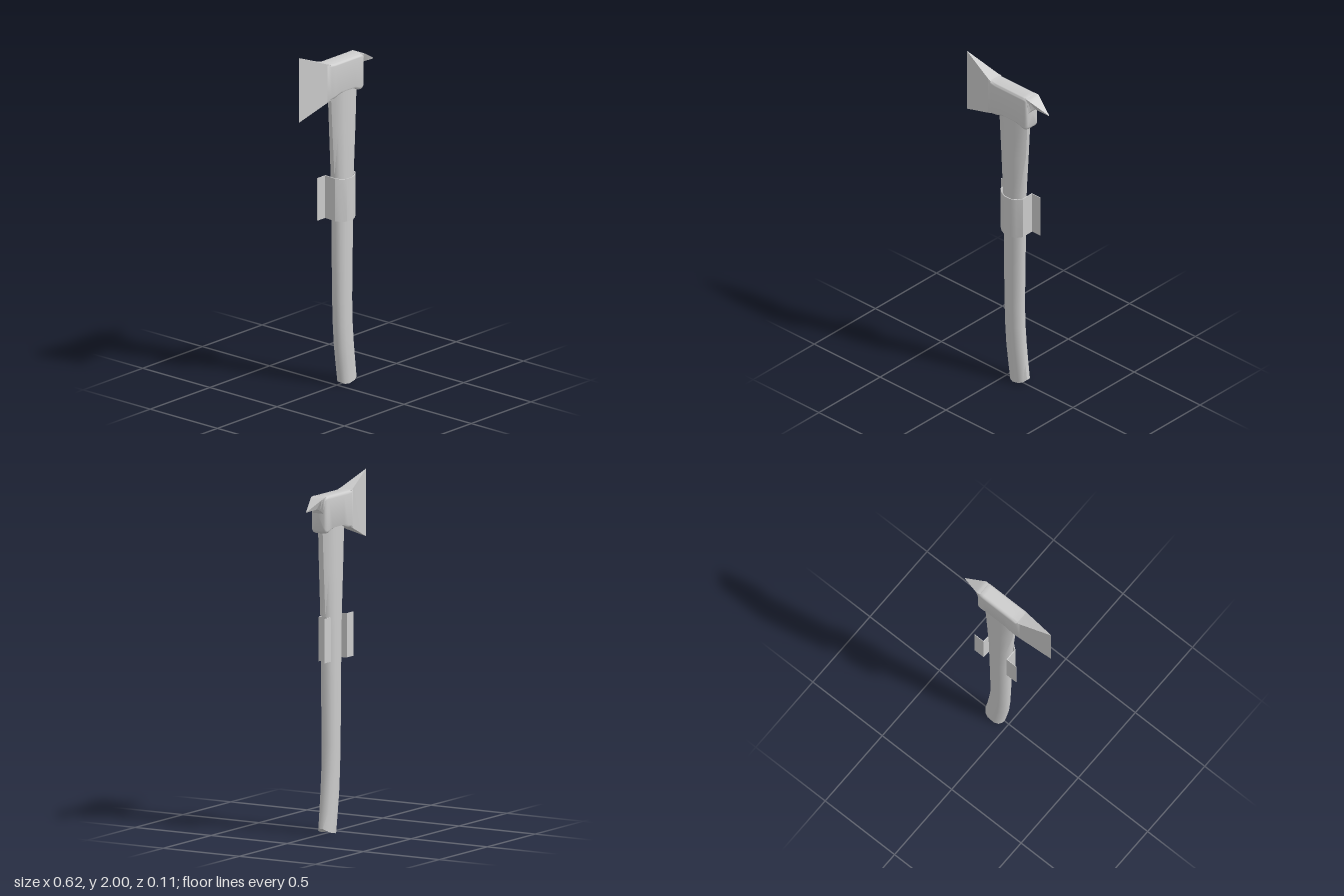
import * as THREE from 'three';
import { toCreasedNormals } from 'three/addons/utils/BufferGeometryUtils.js';

const ZC = -0.0065; // depth centre of handle and head

// Skin a stack of equal-length rings of [x, y, z] points and cap both ends.
function loft(rings, crease) {
  const n = rings[0].length;
  const pos = rings.flat(2);
  const index = [];
  for (let r = 0; r < rings.length - 1; r++) {
    for (let i = 0; i < n; i++) {
      const a = r * n + i, b = r * n + (i + 1) % n;
      index.push(a, a + n, b, b, a + n, b + n);
    }
  }
  [0, rings.length - 1].forEach((r, end) => {
    const centre = [0, 1, 2].map(k => rings[r].reduce((s, p) => s + p[k], 0) / n);
    const c = pos.length / 3;
    pos.push(...centre);
    for (let i = 0; i < n; i++) {
      const a = r * n + i, b = r * n + (i + 1) % n;
      index.push(c, end ? b : a, end ? a : b);
    }
  });
  const geo = new THREE.BufferGeometry();
  geo.setAttribute('position', new THREE.Float32BufferAttribute(pos, 3));
  geo.setIndex(index);
  return toCreasedNormals(geo.toNonIndexed(), crease);
}

// Rounded rectangle ring in the y-z plane, running from +y towards -z.
function roundedRing(x, y0, y1, hz, r) {
  const ring = [], hy = (y1 - y0) / 2, cy = (y0 + y1) / 2;
  [[1, -1], [-1, -1], [-1, 1], [1, 1]].forEach(([sy, sz], q) => {
    for (let k = 0; k <= 4; k++) {
      const a = (q + k / 4) * Math.PI / 2;
      ring.push([x, cy + sy * (hy - r) + r * Math.cos(a), ZC + sz * (hz - r) - r * Math.sin(a)]);
    }
  });
  return ring;
}

// Four-cornered ring with separate top and bottom half widths.
function quadRing(x, y0, y1, top, bottom) {
  return [[x, y1, ZC - top], [x, y0, ZC - bottom], [x, y0, ZC + bottom], [x, y1, ZC + top]];
}

export function createModel() {
  const group = new THREE.Group();
  const material = new THREE.MeshStandardMaterial({ color: 0xcccccc });
  const sheetMaterial = new THREE.MeshStandardMaterial({ color: 0xcccccc, side: THREE.DoubleSide });
  const add = (name, geo, mat = material) => {
    const mesh = new THREE.Mesh(geo, mat);
    mesh.name = name;
    group.add(mesh);
  };

  // Handle: twelve-sided section, wide front and back, swept foot
  const quarter = [[1, 0.25], [0.76, 0.75], [0.35, 1]];
  const half = [...quarter, ...quarter.map(([x, z]) => [-x, z]).reverse()];
  const section = [...half, ...half.map(([x, z]) => [-x, -z])];
  // [y, left x, right x, half depth, end tilt, drop of front and back edges]
  const handleRings = [
    [0.028, 0.03, 0.155, 0.039, 0.0125, 0.022],
    [0.12, 0.015, 0.142, 0.04, 0.011, 0],
    [0.23, 0.001, 0.13, 0.041, 0.008, 0],
    [0.36, -0.007, 0.119, 0.042, 0.004, 0],
    [0.5, -0.011, 0.115, 0.043, 0, 0],
    [0.75, -0.015, 0.119, 0.044, 0, 0],
    [1.0, -0.018, 0.124, 0.045, 0, 0],
    [1.23, -0.025, 0.13, 0.045, 0, 0],
    [1.5, -0.042, 0.147, 0.046, 0, 0],
    [1.76, -0.057, 0.161, 0.046, 0, 0],
  ].map(([y, x0, x1, d, tilt, drop]) => section.map(([u, w]) => [
    (x0 + x1) / 2 + u * (x1 - x0) / 2,
    y + u * tilt - Math.abs(w) * drop,
    ZC + w * d,
  ]));
  add('handle', loft(handleRings, 0.7));

  // Head body: rounded block, arched underneath where the handle enters
  add('headBody', loft([
    roundedRing(-0.115, 1.698, 1.918, 0.039, 0.003),
    roundedRing(-0.088, 1.704, 1.915, 0.0475, 0.016),
    roundedRing(-0.055, 1.706, 1.915, 0.0475, 0.018),
    roundedRing(-0.01, 1.72, 1.915, 0.0475, 0.018),
    roundedRing(0.11, 1.72, 1.915, 0.0475, 0.018),
    roundedRing(0.145, 1.706, 1.915, 0.0475, 0.018),
    roundedRing(0.168, 1.705, 1.915, 0.0475, 0.018),
    roundedRing(0.181, 1.712, 1.909, 0.044, 0.018),
    roundedRing(0.187, 1.726, 1.895, 0.036, 0.016),
  ], 0.8));

  // Blade: flat wedge flaring out to a straight cutting edge
  add('blade', loft([
    quadRing(-0.31, 1.62, 2.0, 0.001, 0.001),
    quadRing(-0.112, 1.697, 1.92, 0.0395, 0.0395),
    quadRing(-0.09, 1.707, 1.914, 0.044, 0.044),
  ], 0.3));

  // Pick: flat-topped spike with a keel below
  add('pick', loft([
    quadRing(0.165, 1.8, 1.914, 0.04, 0.04),
    quadRing(0.187, 1.82, 1.911, 0.043, 0.034),
    quadRing(0.196, 1.838, 1.908, 0.042, 0.02),
    quadRing(0.212, 1.846, 1.899, 0.036, 0.006),
    quadRing(0.31, 1.841, 1.845, 0.002, 0.001),
  ], 0.5));

  // Clip: bent sheet around the front of the handle with two side flanges
  const left = [[-0.15, -0.055], [-0.087, -0.055], [-0.085, 0.018], [-0.056, 0.041], [-0.025, 0.054]];
  const outer = [...left, ...left.map(([x, z]) => [-x, z]).reverse()];
  const leftInner = [[-0.15, -0.051], [-0.091, -0.051]];
  const innerHalf = [[-0.15, -0.059], [-0.082, -0.059], [-0.08, 0.016], [-0.054, 0.036], [-0.024, 0.049]]
    .map(([x, z]) => [x, Math.max(z, -0.058)]);
  const inner = [...innerHalf.map(([x, z]) => [-x, z]), ...innerHalf.slice().reverse()];
  const outline = [...outer, ...inner].map(([x, z]) => new THREE.Vector2(x, -z));
  const clip = new THREE.ExtrudeGeometry(new THREE.Shape(outline), { depth: 0.25, bevelEnabled: false });
  clip.rotateX(-Math.PI / 2);
  clip.translate(0.051, 0.98, 0);
  // Front face sits slightly lower than the flanges
  const p = clip.attributes.position;
  for (let i = 0; i < p.count; i++) {
    p.setY(i, p.getY(i) - 0.012 * THREE.MathUtils.smoothstep(p.getZ(i), 0, 0.05));
  }
  add('handleClip', toCreasedNormals(clip, 0.5), sheetMaterial);

  return group;
}
